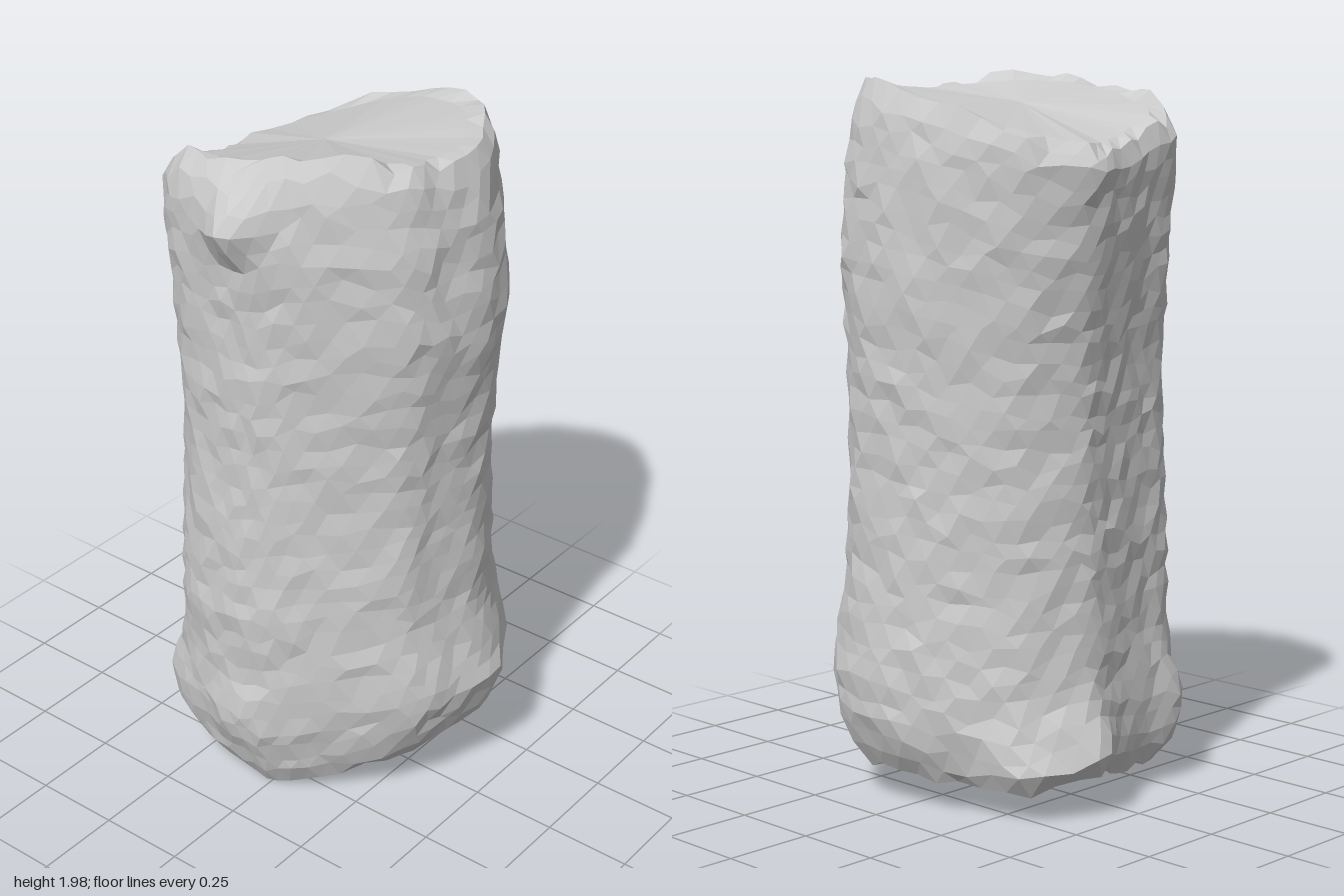
import * as THREE from 'three';

const AROUND = 46, ROWS = 36;

// Outline of the trunk: x, z, bottom rim height, top rim height
const OUTLINE = [
  [-0.37, -0.10, 0.14, 1.77], [-0.295, -0.255, 0.09, 1.81], [-0.16, -0.36, 0.09, 1.88],
  [0.00, -0.42, 0.10, 1.93], [0.19, -0.40, 0.11, 1.96], [0.315, -0.275, 0.17, 1.97],
  [0.40, -0.10, 0.18, 1.94], [0.37, 0.05, 0.15, 1.94], [0.32, 0.17, 0.12, 1.96],
  [0.16, 0.30, 0.05, 2.00], [0.03, 0.37, 0.02, 1.96], [-0.08, 0.385, 0.02, 1.94],
  [-0.22, 0.365, 0.05, 1.93], [-0.315, 0.29, 0.07, 1.86], [-0.335, 0.17, 0.08, 1.83],
  [-0.36, 0.03, 0.10, 1.79],
];

// Reach of the trunk at each height: y, -x, +x, -z, +z
const REACH = [
  [0.00, 0.38, 0.33, 0.38, 0.34], [0.14, 0.40, 0.385, 0.42, 0.37], [0.25, 0.40, 0.44, 0.455, 0.39],
  [0.36, 0.40, 0.48, 0.455, 0.39], [0.60, 0.385, 0.42, 0.43, 0.41], [1.00, 0.37, 0.40, 0.42, 0.39],
  [1.25, 0.37, 0.41, 0.425, 0.39], [1.50, 0.395, 0.44, 0.43, 0.39], [1.75, 0.415, 0.415, 0.42, 0.40],
  [1.88, 0.41, 0.39, 0.40, 0.385], [2.00, 0.39, 0.365, 0.37, 0.33],
];

// Local spurs: centre, radius, push direction
const SPURS = [
  { at: [-0.41, 0.17, -0.12], r: 0.11, push: [-0.08, 0, 0] },
  { at: [-0.33, 0.12, -0.28], r: 0.12, push: [-0.07, 0, -0.04] },
  { at: [-0.03, 1.80, 0.39], r: 0.07, push: [0, 0, 0.075] },
  { at: [-0.42, 1.75, -0.10], r: 0.07, push: [-0.03, 0, 0] },
  { at: [-0.34, 0.24, 0.29], r: 0.13, push: [-0.04, 0, 0.025] },
  { at: [-0.04, 0.25, 0.38], r: 0.14, push: [0, 0, 0.03] },
];

let seed = 7;
const rand = () => {
  seed = (seed * 16807) % 2147483647;
  return seed / 2147483647 - 0.5;
};

function reachAt(y) {
  let i = 0;
  while (i < REACH.length - 2 && y > REACH[i + 1][0]) i++;
  const a = REACH[i], b = REACH[i + 1];
  const t = THREE.MathUtils.clamp((y - a[0]) / (b[0] - a[0]), 0, 1);
  return a.map((v, k) => THREE.MathUtils.lerp(v, b[k], t));
}

function closedCurve(column) {
  const pts = OUTLINE.map((p) => new THREE.Vector3(p[0], p[column], p[1]));
  return new THREE.CatmullRomCurve3(pts, true, 'catmullrom');
}

function barkPoint(low, high, t) {
  const edge = t === 0 || t === 1;
  const y = THREE.MathUtils.lerp(low.y, high.y, t) + rand() * (edge ? 0.035 : 0.03);
  const [, left, right, back, front] = reachAt(y);
  const p = new THREE.Vector3(
    low.x * (low.x < 0 ? left / 0.37 : right / 0.40), y,
    low.z * (low.z < 0 ? back / 0.42 : front / 0.385));
  for (const s of SPURS) {
    const d = p.distanceTo(new THREE.Vector3(...s.at));
    p.addScaledVector(new THREE.Vector3(...s.push), Math.exp(-((d / s.r) ** 2)));
  }
  // Rough bark, with worn-in rims
  const k = 1 + rand() * 0.03 - (edge ? 0.04 : 0);
  p.x *= k;
  p.z *= k;
  p.y = THREE.MathUtils.clamp(p.y, 0, 2);
  return p;
}

function facetMesh(name, points, index) {
  const geo = new THREE.BufferGeometry().setFromPoints(points);
  geo.setIndex(index);
  geo.computeVertexNormals();
  const mesh = new THREE.Mesh(geo, new THREE.MeshStandardMaterial({
    color: 0xcccccc, flatShading: true, roughness: 0.9,
  }));
  mesh.name = name;
  return mesh;
}

// Broken end: a fan over a rim with a few inner facets
function endCap(name, rim, up) {
  const centre = new THREE.Vector3();
  rim.forEach((p) => centre.addScaledVector(p, 1 / rim.length));
  const n = rim.length;
  const inner = rim.map((p) => p.clone().lerp(centre, 0.12));
  // Inner ring follows a smoothed rim so the broken face stays flat
  inner.forEach((p, i) => {
    let sum = 0;
    for (let k = -4; k <= 4; k++) sum += rim[(i + k + n) % n].y;
    p.y = THREE.MathUtils.lerp(sum / 9, centre.y, 0.12);
  });
  const index = [];
  const tri = (a, b, c) => index.push(...(up ? [a, c, b] : [a, b, c]));
  for (let i = 0; i < n; i++) {
    const j = (i + 1) % n;
    tri(i, j, n + i);
    tri(j, n + j, n + i);
    tri(2 * n, n + i, n + j);
  }
  return facetMesh(name, [...rim, ...inner, centre], index);
}

export function createModel() {
  const group = new THREE.Group();
  group.name = 'trunkSection';

  // Rings of bark from the bottom rim to the top rim
  const low = closedCurve(2), high = closedCurve(3);
  const points = [], index = [];
  for (let r = 0; r <= ROWS; r++) {
    for (let i = 0; i < AROUND; i++) {
      const u = ((i + (r % 2) * 0.5) / AROUND) % 1;
      points.push(barkPoint(low.getPoint(u), high.getPoint(u), r / ROWS));
    }
  }
  for (let r = 0; r < ROWS; r++) {
    for (let i = 0; i < AROUND; i++) {
      const j = (i + 1) % AROUND;
      const a = r * AROUND + i, b = r * AROUND + j;
      const c = a + AROUND, d = b + AROUND;
      // Alternate diagonals follow the half-step stagger of the rows
      if (r % 2) index.push(a, c, d, a, d, b);
      else index.push(a, c, b, b, c, d);
    }
  }
  group.add(facetMesh('bark', points, index));
  group.add(endCap('topBreak', points.slice(ROWS * AROUND), true));
  group.add(endCap('bottomBreak', points.slice(0, AROUND), false));
  return group;
}
